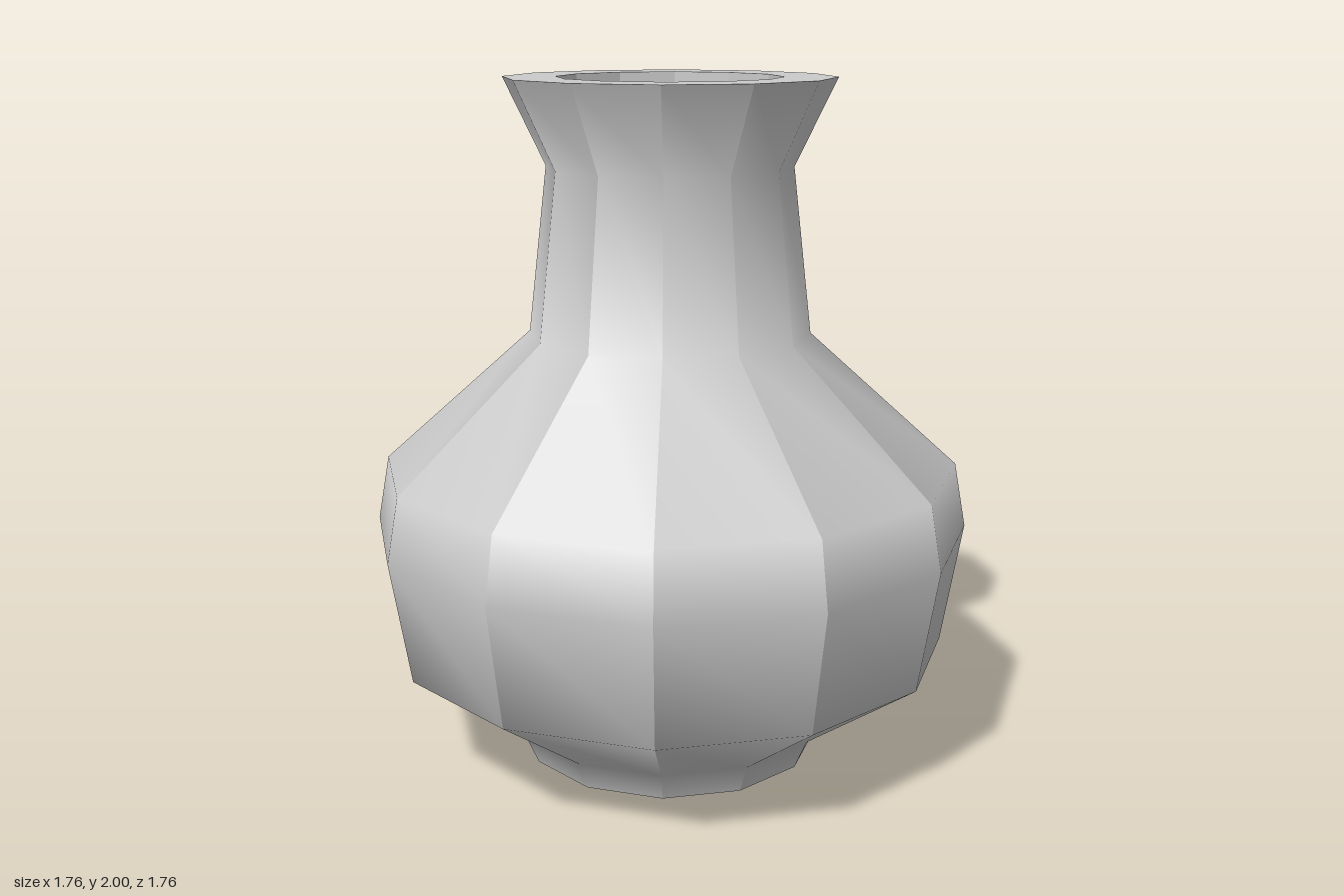
import * as THREE from 'three';
import { mergeGeometries } from 'three/addons/utils/BufferGeometryUtils.js';

const SIDES = 12;

// Faceted turning: sharp edges between the sides, smooth up and down each side
function facetedLathe(profile) {
  const points = profile.map(([r, y]) => new THREE.Vector2(r, y));
  const step = (Math.PI * 2) / SIDES;
  const strips = [];
  for (let i = 0; i < SIDES; i++) {
    const strip = new THREE.LatheGeometry(points, 1, i * step, step);
    strip.computeVertexNormals();
    strips.push(strip);
  }
  return mergeGeometries(strips);
}

export function createModel() {
  const vase = new THREE.Group();
  vase.name = 'vase';
  const material = new THREE.MeshStandardMaterial({ color: 0xcccccc });

  const add = (name, geometry) => {
    const mesh = new THREE.Mesh(geometry, material);
    mesh.name = name;
    vase.add(mesh);
    return mesh;
  };

  const footRadius = 0.44, rimRadius = 0.475, mouthRadius = 0.323;
  const height = 2, floorHeight = 0.2;

  // Foot, belly, neck and flared lip
  add('body', facetedLathe([
    [footRadius, 0], [0.48, 0.09], [0.82, 0.33], [0.88, 0.69],
    [0.845, 0.88], [0.41, 1.27], [0.355, 1.75], [rimRadius, height],
  ]));

  // Flat rim around the mouth
  add('rim', new THREE.RingGeometry(mouthRadius, rimRadius, SIDES, 1)
    .rotateX(-Math.PI / 2).translate(0, height, 0));

  // Straight hollow, profile runs downward so it faces inward
  add('innerWall', facetedLathe([[mouthRadius, height], [mouthRadius, floorHeight]]));
  add('innerFloor', new THREE.CircleGeometry(mouthRadius, SIDES)
    .rotateX(-Math.PI / 2).translate(0, floorHeight, 0));

  // Underside
  add('base', new THREE.CircleGeometry(footRadius, SIDES).rotateX(Math.PI / 2));

  return vase;
}
